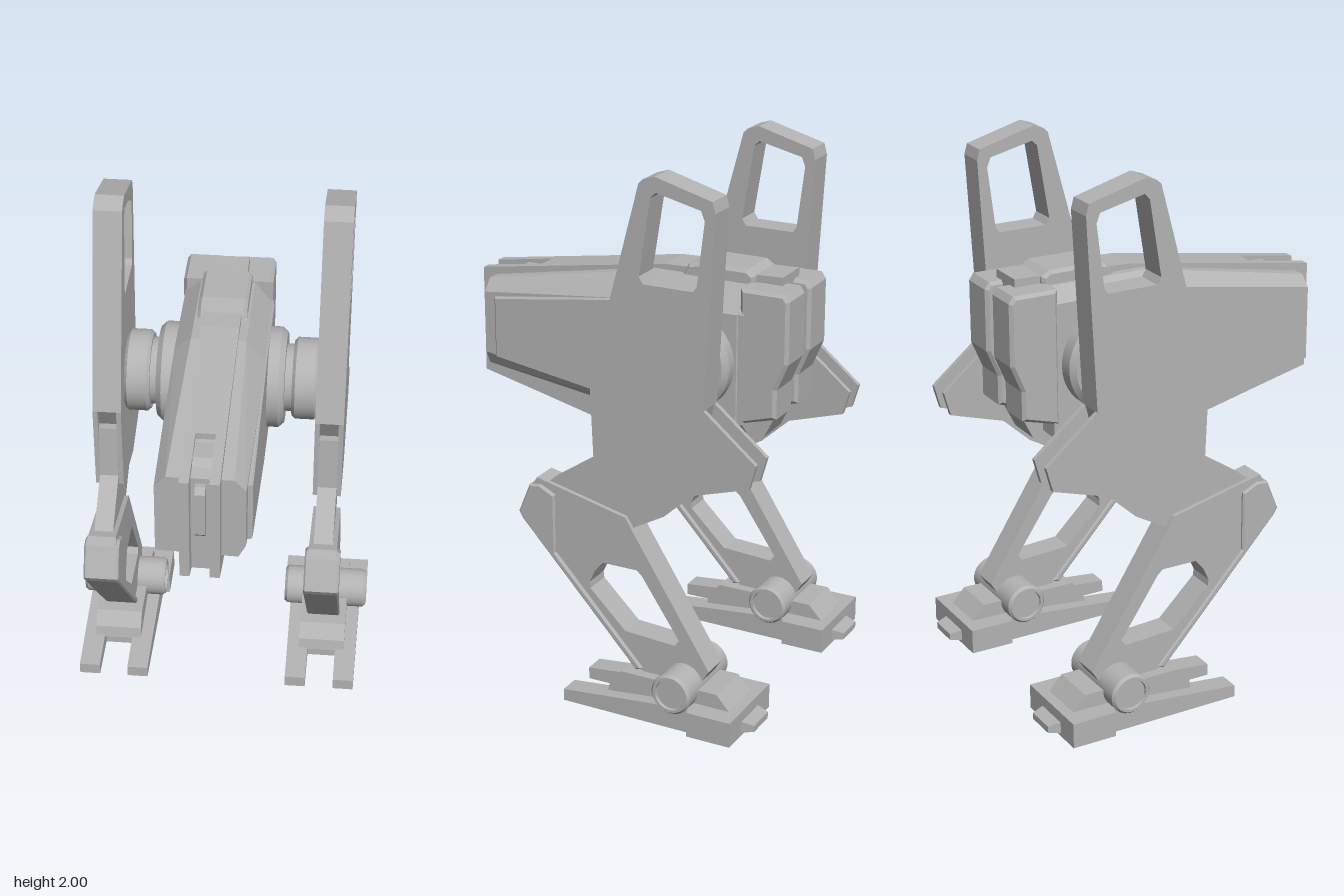
import * as THREE from 'three';
import { toCreasedNormals } from 'three/addons/utils/BufferGeometryUtils.js';

const grey = new THREE.MeshStandardMaterial({ color: 0xb3b3b3 });
grey.name = 'plain grey';

function add(parent, name, geometry, x = 0, y = 0, z = 0) {
  const mesh = new THREE.Mesh(geometry, grey);
  mesh.name = name;
  mesh.position.set(x, y, z);
  parent.add(mesh);
  return mesh;
}

const vectors = (points) => points.map(([a, b]) => new THREE.Vector2(a, b));

// Side profile of [z, y] points, extruded across x and centred on it
function slab(points, width, holes = [], bevel = 0) {
  const shape = new THREE.Shape(vectors(points));
  holes.forEach((h) => shape.holes.push(new THREE.Path(vectors(h))));
  const depth = width - 2 * bevel;
  const g = new THREE.ExtrudeGeometry(shape, {
    depth, bevelEnabled: bevel > 0, bevelSize: bevel, bevelThickness: bevel,
    bevelOffset: -bevel, bevelSegments: 1,
  });
  return g.translate(0, 0, -depth / 2).rotateY(-Math.PI / 2);
}

// Turned part along x from [radius, x] points; side -1 mirrors it
function turned(points, side = 1) {
  const g = new THREE.LatheGeometry(vectors(points), 40);
  return toCreasedNormals(g.rotateZ(-side * Math.PI / 2), 0.5);
}

// Solid through convex [x, y] sections, listed counterclockwise from front to back
function loft(sections) {
  const pos = [];
  const n = sections[0].ring.length;
  const put = (...list) => list.forEach(([s, i]) => {
    const [x, y] = sections[s].ring[i % n];
    pos.push(x, y, sections[s].z);
  });
  const last = sections.length - 1;
  for (let s = 0; s < last; s++) {
    for (let i = 0; i < n; i++) {
      put([s, i], [s + 1, i], [s + 1, i + 1], [s, i], [s + 1, i + 1], [s, i + 1]);
    }
  }
  for (let i = 1; i < n - 1; i++) {
    put([0, 0], [0, i], [0, i + 1]);
    put([last, 0], [last, i + 1], [last, i]);
  }
  const g = new THREE.BufferGeometry();
  g.setAttribute('position', new THREE.Float32BufferAttribute(pos, 3));
  g.computeVertexNormals();
  return g;
}

function makeBody() {
  const body = new THREE.Group();
  body.name = 'body';

  // Hull, with a plain right flank and a chamfered left flank
  const wide = [[-0.16, 1.0], [0.13, 1.01], [0.17, 1.05], [0.17, 1.46], [0.1, 1.55], [-0.1, 1.55], [-0.16, 1.5]];
  add(body, 'hull', loft([
    { z: 0.61, ring: [[-0.16, 1.11], [0.13, 1.1], [0.155, 1.15], [0.155, 1.385], [0.115, 1.43], [-0.12, 1.43], [-0.16, 1.39]] },
    { z: -0.05, ring: wide },
    { z: -0.46, ring: wide },
  ]));
  add(body, 'flankPanel', slab([[0.56, 1.375], [-0.07, 1.465], [-0.44, 1.465], [-0.44, 1.05], [0, 1.055], [0.56, 1.14]], 0.035, [], 0.006), 0.156);

  // Central spine and keel
  add(body, 'spine', slab([[0.43, 1.487], [-0.1, 1.57], [-0.56, 1.585], [-0.56, 1.1], [-0.5, 0.98], [-0.45, 0.935], [0.2, 0.935], [0.43, 0.99]], 0.14));
  add(body, 'topHatch', slab([[-0.17, 1.54], [-0.2, 1.59], [-0.25, 1.6], [-0.43, 1.6], [-0.46, 1.58], [-0.46, 1.52]], 0.18, [], 0.012));

  // Split nose with a recessed core
  for (const s of [-1, 1]) {
    add(body, 'nosePlate', slab([[0.665, 1.45], [0.43, 1.487], [0.43, 0.99], [0.665, 1.045]], 0.035), s * 0.0525);
  }
  add(body, 'noseCore', slab([[0.6, 1.41], [0.53, 1.46], [0.43, 1.46], [0.43, 0.99], [0.6, 1.03]], 0.07));
  add(body, 'noseStrip', slab([[0.65, 1.39], [0.63, 1.41], [0.58, 1.41], [0.58, 1.2], [0.63, 1.2], [0.65, 1.22]], 0.036));

  // Paired pods at the back
  for (const s of [-1, 1]) {
    add(body, 'rearPod', slab([[-0.44, 1.555], [-0.61, 1.555], [-0.627, 1.53], [-0.627, 1.3], [-0.585, 1.2], [-0.585, 1.09], [-0.44, 1.05]], 0.147, [], 0.012), s * 0.0935);
  }

  // Hip drums, stepped out to the legs
  for (const s of [-1, 1]) {
    add(body, 'hipDrum', turned([
      [0, 0.1], [0.187, 0.1], [0.187, 0.215], [0.168, 0.235], [0.125, 0.235], [0.125, 0.262],
      [0.14, 0.262], [0.152, 0.274], [0.152, 0.345], [0.14, 0.357], [0, 0.357],
    ], s), 0, 1.27, -0.24);
  }
  return body;
}

function makeFoot() {
  const foot = new THREE.Group();
  foot.name = 'foot';

  // Forked sole, thinning towards the toes
  const plan = new THREE.Shape(vectors([
    [-0.167, -0.62], [0.167, -0.62], [0.167, -0.45], [0.14, -0.44], [0.135, 0.07], [0.055, 0.07],
    [0.055, -0.12], [-0.055, -0.12], [-0.055, 0.07], [-0.135, 0.07], [-0.14, -0.44], [-0.167, -0.45],
  ]));
  const sole = new THREE.ExtrudeGeometry(plan, { depth: 1, bevelEnabled: false }).rotateX(Math.PI / 2);
  const p = sole.attributes.position;
  for (let i = 0; i < p.count; i++) {
    const top = 0.095 - 0.05 * THREE.MathUtils.clamp((p.getZ(i) + 0.45) / 0.52, 0, 1);
    p.setY(i, p.getY(i) < -0.5 ? 0 : top);
  }
  sole.computeVertexNormals();
  add(foot, 'sole', sole);

  add(foot, 'heelSpur', loft([
    { z: -0.6, ring: [[-0.075, 0.01], [0.075, 0.01], [0.075, 0.06], [-0.075, 0.06]] },
    { z: -0.665, ring: [[-0.058, 0.02], [0.058, 0.02], [0.058, 0.045], [-0.058, 0.045]] },
  ]));
  add(foot, 'instep', slab([[-0.09, 0.055], [-0.1, 0.1], [-0.145, 0.15], [-0.53, 0.15], [-0.58, 0.095], [-0.58, 0.06]], 0.18));
  add(foot, 'anklePin', turned([
    [0, -0.152], [0.056, -0.152], [0.058, -0.163], [0.068, -0.163], [0.077, -0.152],
    [0.077, 0.152], [0.068, 0.163], [0.058, 0.163], [0.056, 0.152], [0, 0.152],
  ]), 0, 0.145, -0.38);
  return foot;
}

function makeLeg() {
  const leg = new THREE.Group();
  leg.name = 'leg';

  // Tall hip blade with a window: two cheeks around a core
  const crest = [[-0.005, 1.235], [-0.2, 1.97], [-0.215, 1.985], [-0.26, 2.0], [-0.476, 1.94], [-0.487, 1.9], [-0.45, 1.2]];
  const blade = [...crest, [-0.65, 1.035], [-0.625, 0.945], [-0.296, 0.845], [-0.02, 0.895]];
  const opening = [[-0.265, 1.945], [-0.434, 1.905], [-0.448, 1.87], [-0.42, 1.64], [-0.405, 1.62], [-0.215, 1.62], [-0.2, 1.645], [-0.245, 1.925]];
  for (const s of [-1, 1]) {
    add(leg, 'bladeCheek', slab(blade, 0.018, [opening]), s * 0.0435);
  }
  add(leg, 'bladeCore', slab([...crest, [-0.43, 1.12], [-0.05, 1.15]], 0.07, [opening]));

  // Thigh between the cheeks
  add(leg, 'thigh', slab([
    [-0.02, 1.15], [-0.01, 0.94], [0.2, 0.8], [0.14, 0.62], [-0.165, 0.7], [-0.29, 0.77], [-0.41, 0.88], [-0.54, 1.0], [-0.45, 1.13],
  ], 0.07));

  // Open shin with a wider guard on its front edge
  add(leg, 'shin', slab([
    [0.217, 0.828], [0.24, 0.79], [0.27, 0.68], [-0.2, 0.16], [-0.25, 0.13], [-0.43, 0.13], [-0.48, 0.21], [-0.143, 0.743],
  ], 0.104, [[
    [-0.02, 0.51], [-0.053, 0.547], [-0.19, 0.547], [-0.21, 0.53], [-0.36, 0.307], [-0.344, 0.283], [-0.143, 0.295], [0, 0.435], [0.003, 0.46],
  ]]));
  add(leg, 'shinGuard', slab([
    [0.2, 0.805], [0.243, 0.8], [0.29, 0.685], [0.275, 0.66], [-0.19, 0.155], [-0.215, 0.165], [0.14, 0.55], [0.14, 0.775],
  ], 0.13, [], 0.006));

  leg.add(makeFoot());
  return leg;
}

export function createModel() {
  const model = new THREE.Group();
  model.name = 'walker';
  model.add(makeBody());
  for (const s of [-1, 1]) {
    const leg = makeLeg();
    leg.name = s > 0 ? 'leftLeg' : 'rightLeg';
    leg.position.x = s * 0.408;
    model.add(leg);
  }
  return model;
}
